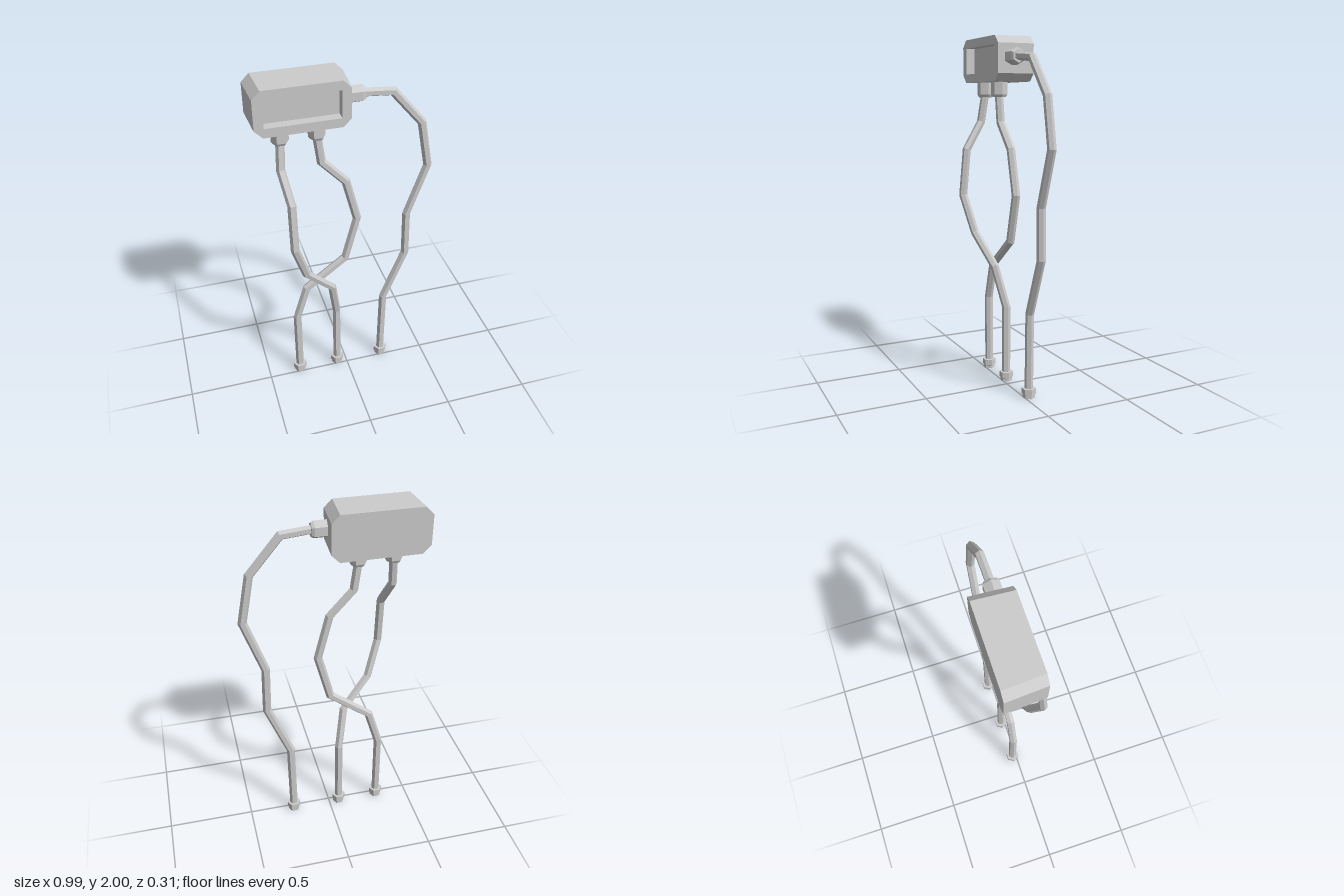
import * as THREE from 'three';

const material = new THREE.MeshStandardMaterial({ color: 0xcccccc, flatShading: true });
const V = (x, y, z) => new THREE.Vector3(x, y, z);
const CABLE_Z = -0.025;

// Skins a list of equal-sized rings (counter-clockwise about the direction of travel) and caps both ends
function loft(rings) {
  const pos = [];
  const tri = (a, b, c) => {
    const area = b.clone().sub(a).cross(c.clone().sub(a)).length();
    if (area > 1e-9) for (const p of [a, b, c]) pos.push(p.x, p.y, p.z);
  };
  const n = rings[0].length;
  for (let i = 0; i < rings.length - 1; i++) {
    const a = rings[i], b = rings[i + 1];
    for (let k = 0; k < n; k++) {
      const m = (k + 1) % n;
      tri(a[k], a[m], b[m]);
      tri(a[k], b[m], b[k]);
    }
  }
  const first = rings[0], last = rings[rings.length - 1];
  for (let k = 1; k < n - 1; k++) {
    tri(first[0], first[k + 1], first[k]);
    tri(last[0], last[k], last[k + 1]);
  }
  const geometry = new THREE.BufferGeometry();
  geometry.setAttribute('position', new THREE.Float32BufferAttribute(pos, 3));
  geometry.computeVertexNormals();
  return geometry;
}

// Rectangle with cut corners, centred on the housing
function cutRect(w, h, cut, z) {
  const cx = -0.2375, cy = 1.875, x = w / 2, y = h / 2;
  return [
    [x, -y + cut], [x, y - cut], [x - cut, y], [-x + cut, y],
    [-x, y - cut], [-x, -y + cut], [-x + cut, -y], [x - cut, -y],
  ].map(([px, py]) => V(cx + px, cy + py, z));
}

// Six-sided cable with mitred bends, its ridges lying in the bending plane
function cable(points, radius = 0.024) {
  const dirs = points.slice(1).map((p, i) => p.clone().sub(points[i]).normalize());
  const n = V(0, 0, 1).cross(dirs[0]).normalize();
  const b = dirs[0].clone().cross(n);
  let ring = Array.from({ length: 6 }, (_, k) => {
    const a = k * Math.PI / 3;
    return points[0].clone()
      .addScaledVector(n, radius * Math.cos(a))
      .addScaledVector(b, radius * Math.sin(a));
  });
  const rings = [ring];
  dirs.forEach((d, i) => {
    const c = points[i + 1];
    const mitre = d.clone().add(dirs[i + 1] || d).normalize();
    ring = ring.map(p => p.clone().addScaledVector(d, c.clone().sub(p).dot(mitre) / d.dot(mitre)));
    rings.push(ring);
  });
  return loft(rings);
}

// Hexagonal turned part along y, with ridges pointing to +x and -x
function hexPart(profile) {
  return new THREE.LatheGeometry(profile.map(([r, y]) => new THREE.Vector2(r, y)), 6, Math.PI / 6);
}

export function createModel() {
  const model = new THREE.Group();
  const add = (name, geometry, x = 0, y = 0, z = 0, rotZ = 0) => {
    const mesh = new THREE.Mesh(geometry, material);
    mesh.name = name;
    mesh.position.set(x, y, z);
    mesh.rotation.z = rotZ;
    model.add(mesh);
  };

  // Housing: tapers slightly to the front, where a rectangular window is sunk in
  add('housing', loft([
    cutRect(0.519, 0.25, 0.043, -0.155),
    cutRect(0.493, 0.25, 0.043, 0.057),
    cutRect(0.395, 0.15, 0, 0.057),
    cutRect(0.395, 0.15, 0, 0.005),
  ]));

  // Connectors where the cables leave the housing
  const connector = hexPart([[0, -0.02], [0.047, -0.02], [0.047, 0.07], [0.038, 0.085], [0, 0.085]]);
  add('rightConnector', connector, -0.345, 1.75, CABLE_Z, Math.PI);
  add('middleConnector', connector, -0.153, 1.75, CABLE_Z, Math.PI);
  add('sideConnector', connector, 0.012, 1.883, CABLE_Z, -Math.PI / 2);

  // Cables, from the connector down to the plug; z is given only where a cable swings forward
  const cables = {
    side: [[0.08, 1.885], [0.25, 1.87], [0.418, 1.67], [0.468, 1.4], [0.36, 1.09], [0.365, 0.81],
      [0.237, 0.485], [0.23, 0.04]],
    middle: [[-0.155, 1.69], [-0.133, 1.52], [0, 1.375], [0.065, 1.12], [-0.005, 0.85], [-0.24, 0.67],
      [-0.305, 0.455], [-0.305, 0.04]],
    right: [[-0.345, 1.69], [-0.355, 1.52, 0], [-0.328, 1.36, 0.105], [-0.328, 1.09, 0.13],
      [-0.26, 0.87, 0.085], [-0.1, 0.69, 0.03], [-0.06, 0.45], [-0.06, 0.04]],
  };
  const plug = hexPart([[0, 0], [0.034, 0], [0.034, 0.018], [0.04, 0.022], [0.04, 0.055], [0, 0.055]]);
  for (const [name, path] of Object.entries(cables)) {
    add(name + 'Cable', cable(path.map(([x, y, z = CABLE_Z]) => V(x, y, z))));
    add(name + 'Plug', plug, path[path.length - 1][0], 0, CABLE_Z);
  }

  return model;
}
